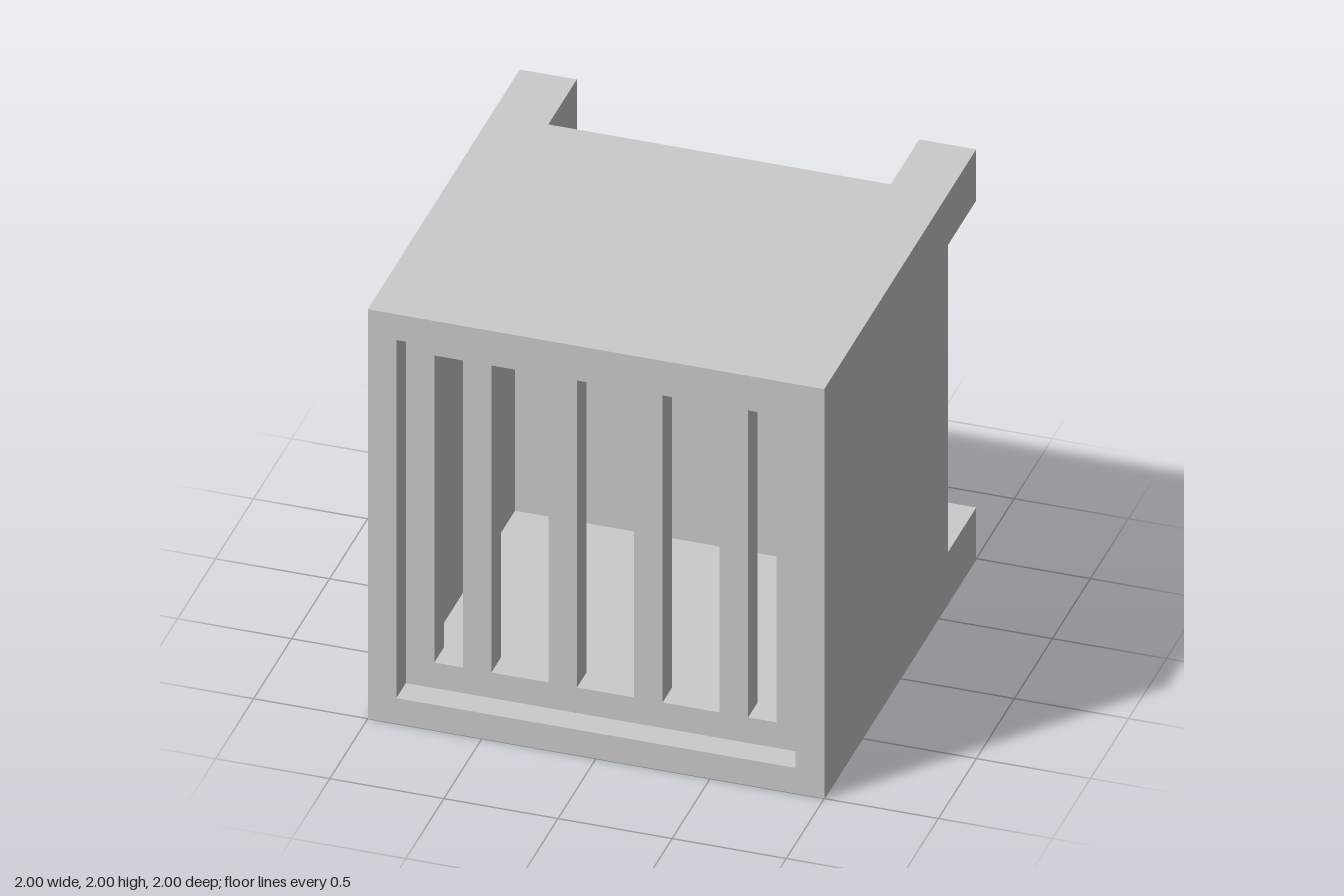
import * as THREE from 'three';

// Rectangle outline, used for shapes and for holes
function rect(Type, x0, y0, x1, y1) {
  return new Type([
    new THREE.Vector2(x0, y0), new THREE.Vector2(x1, y0),
    new THREE.Vector2(x1, y1), new THREE.Vector2(x0, y1),
  ]);
}

export function createModel() {
  const model = new THREE.Group();
  const material = new THREE.MeshStandardMaterial({ color: 0xcccccc, flatShading: true });

  const add = (name, geometry, x = 0, y = 0, z = 0) => {
    const mesh = new THREE.Mesh(geometry, material);
    mesh.name = name;
    mesh.position.set(x, y, z);
    model.add(mesh);
  };
  const extrude = (shape, depth) =>
    new THREE.ExtrudeGeometry(shape, { depth, bevelEnabled: false });

  const back = -0.625, wall = 0.0625, inner = 0.875;

  // Hollow square casing, open at the front
  const casing = rect(THREE.Shape, -1, 0, 1, 2);
  casing.holes.push(rect(THREE.Path, -inner, 0.125, inner, 1.875));
  add('casing', extrude(casing, 1 - back), 0, 0, back);

  // Panel closing the back of the casing
  add('backPanel', new THREE.BoxGeometry(2 * inner, 2 * inner, wall), 0, 1, back + wall / 2);

  // Recessed grille with five vertical slots, the outer two half as wide
  const grille = rect(THREE.Shape, -inner, 0.125, inner, 1.875);
  for (const [x0, x1] of [[-0.75, -0.625], [-0.5, -0.25], [-0.125, 0.125], [0.25, 0.5], [0.625, 0.75]]) {
    grille.holes.push(rect(THREE.Path, x0, 0.25, x1, 1.75));
  }
  add('grille', extrude(grille, 0.125), 0, 0, 0.75);

  // Four mounting posts at the back corners
  const postLength = 1 + back;
  const post = new THREE.BoxGeometry(0.25, 0.25, postLength);
  for (const [side, x] of [['left', 0.875], ['right', -0.875]]) {
    for (const [level, y] of [['Upper', 1.875], ['Lower', 0.125]]) {
      add(`${side}${level}Post`, post, x, y, back - postLength / 2);
    }
  }

  return model;
}
